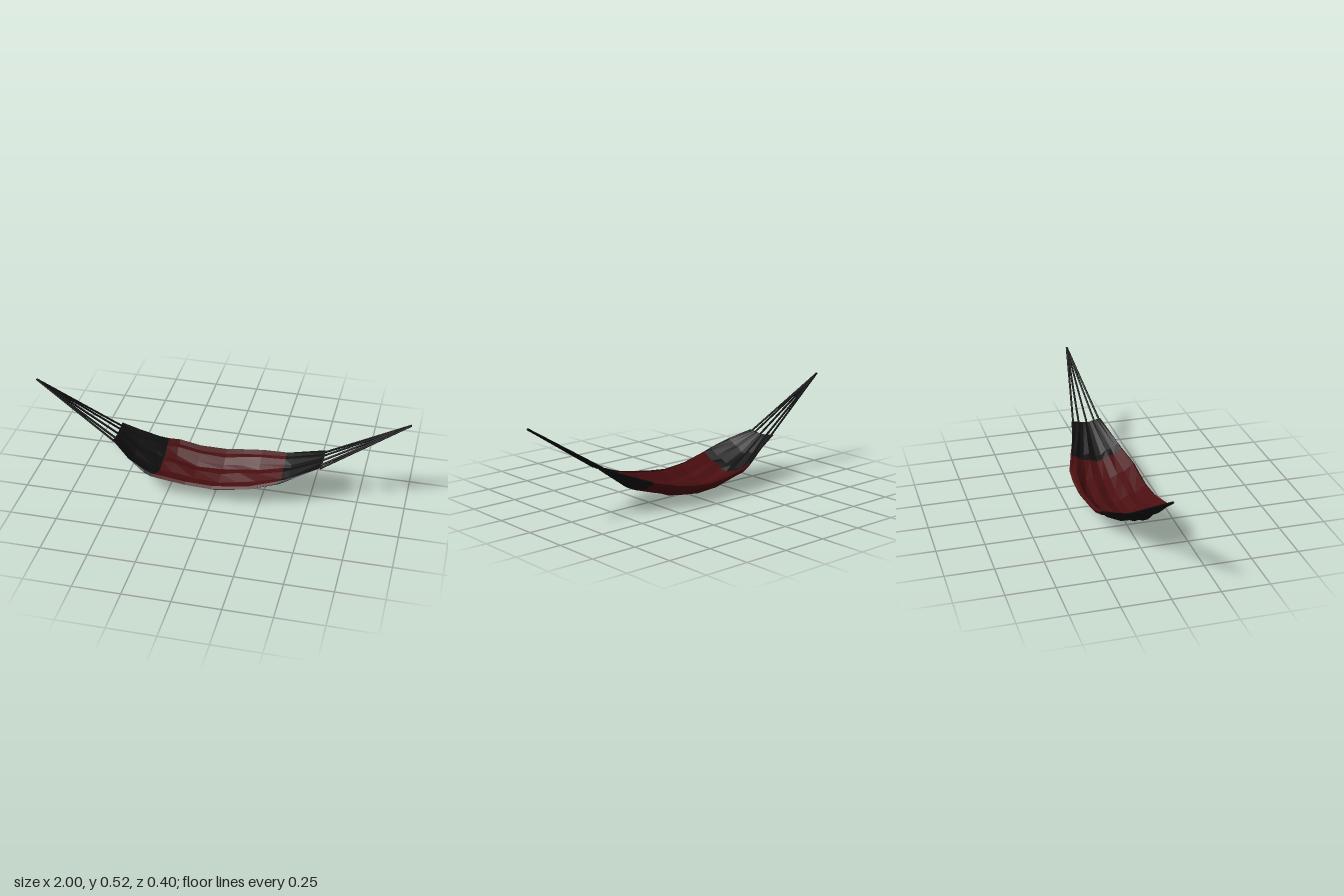
import * as THREE from 'three';

const red = new THREE.MeshStandardMaterial({ color: 0x4a0e10, side: THREE.DoubleSide, flatShading: true });
red.name = 'dark red cloth';
const black = new THREE.MeshStandardMaterial({ color: 0x101010, side: THREE.DoubleSide, flatShading: true });
black.name = 'black cloth';
const cord = new THREE.MeshStandardMaterial({ color: 0x0b0b0b });
cord.name = 'black cord';

// Stations along the cloth: x, bottom y, rim y, front z, back z
const stations = [
  [-0.56, 0.234, 0.246, 0.08, -0.10],
  [-0.46, 0.135, 0.2, 0.155, -0.125],
  [-0.36, 0.08, 0.16, 0.195, -0.15],
  [-0.32, 0.058, 0.146, 0.2, -0.165],
  [-0.26, 0.042, 0.134, 0.195, -0.185],
  [-0.14, 0.012, 0.112, 0.185, -0.185],
  [0, 0.002, 0.103, 0.18, -0.197],
  [0.1, 0.02, 0.114, 0.178, -0.2],
  [0.2, 0.038, 0.13, 0.175, -0.193],
  [0.34, 0.088, 0.162, 0.143, -0.15],
  [0.38, 0.103, 0.176, 0.135, -0.138],
  [0.56, 0.23, 0.245, 0.08, -0.088],
];

// Folded cross-section from front rim to back rim: width share, height share
const section = [
  [0.93, 0.97], [1, 0.85], [0.88, 0.7], [0.68, 0.43], [0.47, 0.36], [0.25, 0.06], [0.02, 0],
  [-0.26, 0.22], [-0.5, 0.18], [-0.62, 0.34], [-0.78, 0.66], [-0.93, 0.68], [-1, 0.92], [-0.94, 1],
];

function clothPoint([x, bottom, rim, front, back], [u, v], i, k) {
  // The curled rim flattens out toward the gathered ends
  const end = Math.max(0, (Math.abs(x) - 0.36) / 0.2);
  const even = 1 - (2 * k) / (section.length - 1);
  const w = THREE.MathUtils.lerp(u, even, end);
  const drift = (1 - end) * 0.004 * Math.sin(i * 2.1 + k * 1.7) * (Math.abs(u) < 0.9 ? 1 : 0);
  const y = bottom + (rim - bottom) * v;
  return [x, Math.max(y + drift, 0.001), (front + back) / 2 + ((front - back) / 2) * w];
}

// Cloth panel between two stations
function panel(name, from, to, material) {
  const pos = [], idx = [], n = section.length;
  for (let i = from; i <= to; i++) {
    section.forEach((s, k) => pos.push(...clothPoint(stations[i], s, i, k)));
  }
  for (let i = 0; i < to - from; i++) {
    for (let k = 0; k < n - 1; k++) {
      const a = i * n + k, b = a + n;
      idx.push(a, b, a + 1, b, b + 1, a + 1);
    }
  }
  const g = new THREE.BufferGeometry();
  g.setAttribute('position', new THREE.Float32BufferAttribute(pos, 3));
  g.setIndex(idx);
  g.computeVertexNormals();
  const mesh = new THREE.Mesh(g, material);
  mesh.name = name;
  return mesh;
}

// Straight rope between two points
function rope(name, a, b) {
  const dir = b.clone().sub(a);
  const mesh = new THREE.Mesh(new THREE.CylinderGeometry(0.0055, 0.0055, dir.length(), 8), cord);
  mesh.position.copy(a).add(b).multiplyScalar(0.5);
  mesh.quaternion.setFromUnitVectors(new THREE.Vector3(0, 1, 0), dir.normalize());
  mesh.name = name;
  return mesh;
}

export function createModel() {
  const group = new THREE.Group();
  group.name = 'hammock';
  group.add(
    panel('rightEndCloth', 0, 3, black),
    panel('middleCloth', 3, 9, red),
    panel('leftEndCloth', 9, 11, black),
  );

  // Five ropes fan from each hanging point to the cloth end
  for (const side of [-1, 1]) {
    const fan = new THREE.Group();
    fan.name = side < 0 ? 'rightRopes' : 'leftRopes';
    const hook = new THREE.Vector3(side * 0.997, 0.518, -0.003);
    [0.072, 0.042, -0.003, -0.048, -0.08].forEach((z) => {
      fan.add(rope('rope', hook, new THREE.Vector3(side * 0.555, 0.236, z)));
    });
    group.add(fan);
  }
  return group;
}
